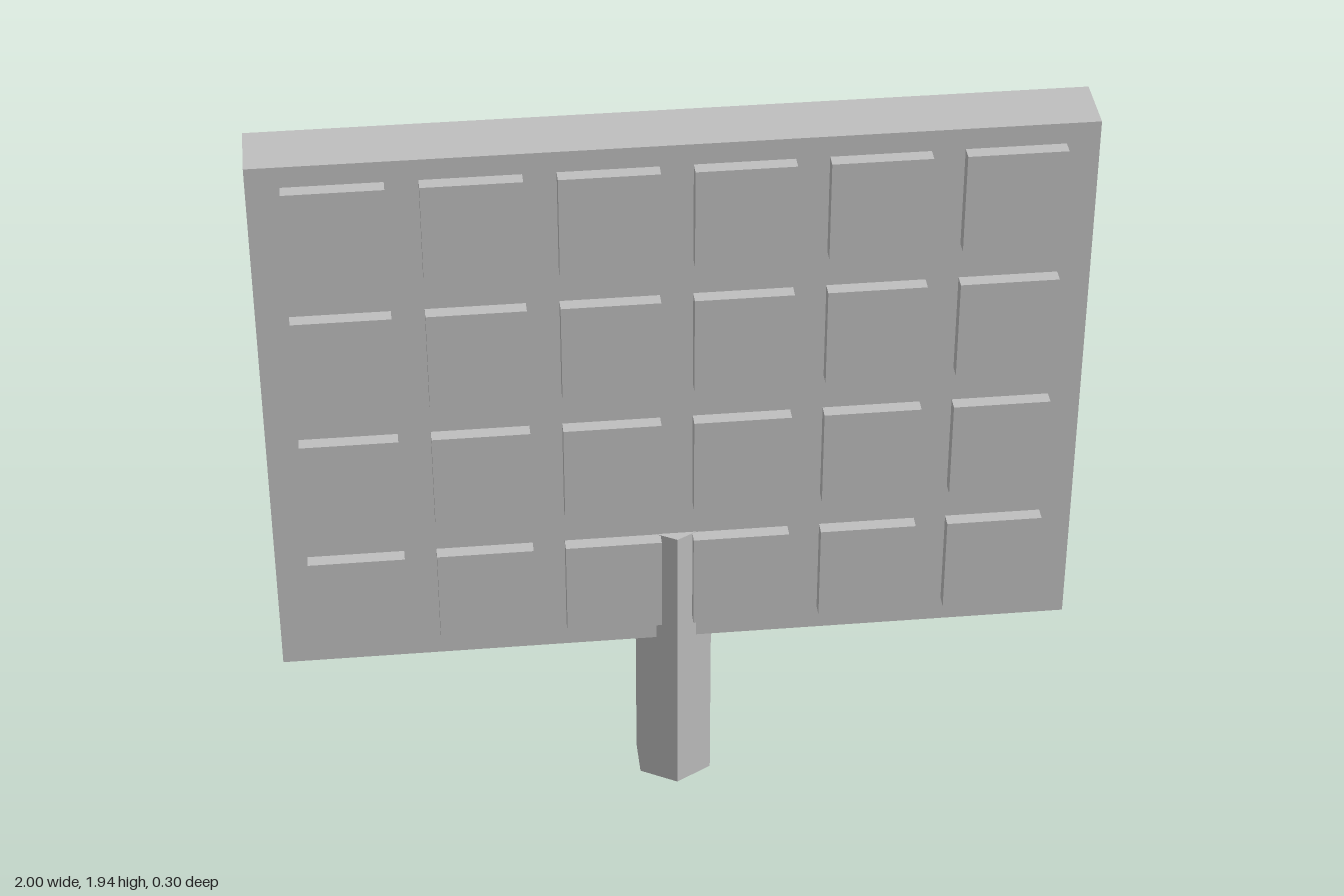
import * as THREE from 'three';

export function createModel() {
  const group = new THREE.Group();
  const grey = new THREE.MeshStandardMaterial({ color: 0xbfbfbf });
  grey.name = 'grey';
  grey.flatShading = true;
  grey.side = THREE.DoubleSide;

  const add = (name, geometry, x, y, z) => {
    const mesh = new THREE.Mesh(geometry, grey);
    mesh.name = name;
    mesh.position.set(x, y, z);
    group.add(mesh);
    return mesh;
  };

  // Main panel and the shallower housing on its back
  add('panel', new THREE.BoxGeometry(2, 1.466, 0.16), 0, 1.204, 0.035);
  add('backHousing', new THREE.BoxGeometry(1.6, 1.066, 0.105), 0, 1.204, -0.0975);

  // Six by four grid of raised tiles on the front
  const tile = new THREE.BoxGeometry(0.24, 0.264, 0.035);
  for (let row = 0; row < 4; row++) {
    for (let col = 0; col < 6; col++) {
      add('tile', tile, -0.8 + col * 0.32, 0.67 + row * 0.36, 0.1325);
    }
  }

  // Hexagonal pole, a hollow tube open at the bottom, closed at the top
  const radius = 0.106, height = 0.803, poleZ = 0.038;
  add('pole', new THREE.CylinderGeometry(radius, radius, height, 6, 1, true), 0, height / 2, poleZ);
  const cap = add('poleCap', new THREE.CircleGeometry(radius, 6, Math.PI / 2), 0, height, poleZ);
  cap.rotation.x = -Math.PI / 2;

  return group;
}
